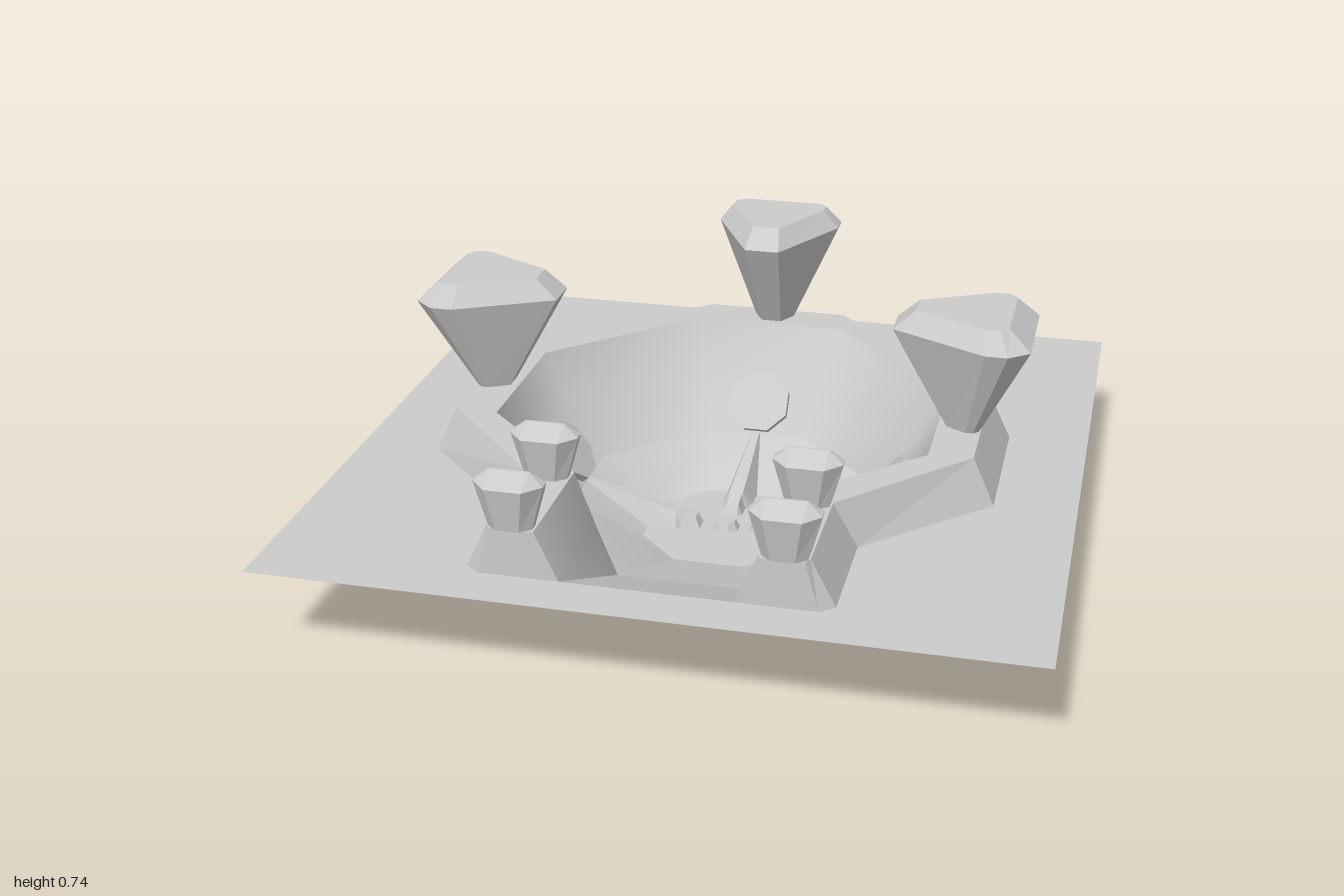
import * as THREE from 'three';
import { toCreasedNormals } from 'three/addons/utils/BufferGeometryUtils.js';

const flat = new THREE.MeshStandardMaterial({ color: 0xcccccc, flatShading: true, side: THREE.DoubleSide });
const smooth = new THREE.MeshStandardMaterial({ color: 0xcccccc, side: THREE.DoubleSide });

const GROUND = 0.27, RIM = 0.4, FRONT = 0.87;

function mesh(name, geometry, material = flat) {
  const m = new THREE.Mesh(geometry, material);
  m.name = name;
  return m;
}

// Skin over rows of [x, y, z] points; closed rows wrap round and get a cap on the last row.
function skin(rows, closed = false) {
  const pos = [];
  const n = rows[0].length;
  const tri = (...pts) => pts.forEach((p) => pos.push(...p));
  for (let i = 0; i < rows.length - 1; i++) {
    for (let j = 0; j < (closed ? n : n - 1); j++) {
      const k = (j + 1) % n;
      tri(rows[i][j], rows[i][k], rows[i + 1][k]);
      tri(rows[i][j], rows[i + 1][k], rows[i + 1][j]);
    }
  }
  if (closed) {
    const top = rows[rows.length - 1];
    for (let j = 1; j < n - 1; j++) tri(top[0], top[j], top[j + 1]);
  }
  const g = new THREE.BufferGeometry();
  g.setAttribute('position', new THREE.Float32BufferAttribute(pos, 3));
  g.computeVertexNormals();
  return g;
}

// Right half of a row (front to back) followed by its mirrored left half.
const mirrorRow = (pts) => [...pts, ...pts.map(([x, y, z]) => [-x, y, z]).reverse()];

// Row through the arm end, arm corner, and the chamfered octagon corners.
function bowlRow(y, r, c, arm) {
  return mirrorRow([...arm, [r, y, c], [r, y, -c], [c, y, -r]]);
}

// Closed ring symmetric about the x axis, from its upper half listed from +x to -x.
function ring(y, half) {
  return [...half.map(([x, w]) => [x, y, -w]), ...half.map(([x, w]) => [x, y, w]).reverse()];
}

function largePillar() {
  return mesh('largePillar', skin([
    ring(RIM, [[0.715, 0.045], [0.7, 0.06], [0.68, 0.06], [0.625, 0.03]]),
    ring(0.68, [[0.845, 0.14], [0.79, 0.185], [0.73, 0.185], [0.47, 0.05]]),
    ring(0.735, [[0.785, 0.115], [0.765, 0.14], [0.725, 0.14], [0.53, 0.04]]),
  ], true));
}

function smallPost(x, z) {
  const post = mesh('smallPost', skin([
    ring(RIM, [[0.057, 0.012], [0.03, 0.035], [-0.03, 0.035], [-0.057, 0.012]]),
    ring(0.52, [[0.09, 0.015], [0.048, 0.06], [-0.048, 0.06], [-0.09, 0.015]]),
    ring(0.55, [[0.052, 0.002], [0.045, 0.004], [-0.045, 0.004], [-0.052, 0.002]]),
  ], true));
  post.position.set(x, 0, z);
  return post;
}

// Tapered rib running down the bowl onto the floor
function floorRib() {
  const sections = [
    [0.41, 0.015, 0.105, 0.01, 0.115], [0.22, 0.045, 0, 0.018, 0.065], [0.14, 0.045, 0, 0.02, 0.045],
    [0.125, 0.03, 0, 0.018, 0.04], [0.085, 0.03, 0, 0.018, 0.03], [0.07, 0.03, 0, 0.018, 0.002],
  ];
  return mesh('floorRib', skin(sections.map(([d, bw, by, tw, ty]) =>
    [[d, by, bw], [d, ty, tw], [d, ty, -tw], [d, by, -bw]])));
}

function wallDisc() {
  const disc = mesh('wallDisc', new THREE.CylinderGeometry(0.095, 0.095, 0.04, 8, 1, false, Math.PI / 8));
  disc.rotation.z = 0.927;
  disc.position.set(0.466, 0.19, 0);
  return disc;
}

export function createModel() {
  const model = new THREE.Group();
  model.name = 'arena';

  // Rows of the raised rim
  const base = bowlRow(GROUND, 0.78, 0.22, [[0.43, GROUND, FRONT], [0.467, GROUND, 0.84], [0.467, GROUND, 0.53]]);
  const outer = bowlRow(RIM, 0.72, 0.21, [[0.395, RIM, FRONT], [0.405, RIM, 0.85], [0.405, RIM, 0.55]]);
  const inner = bowlRow(RIM, 0.6, 0.22, [[0.28, RIM, FRONT], [0.28, RIM, 0.85], [0.28, RIM, 0.53]]);
  model.add(mesh('rim', skin([base, outer, inner])));

  // Rows of the bowl wall, from the rim down
  const upper = bowlRow(GROUND, 0.53, 0.19, [[0.25, 0.335, FRONT], [0.246, 0.325, 0.85], [0.225, 0.25, 0.53]]);
  const middle = bowlRow(0.11, 0.41, 0.15, [[0.22, GROUND, FRONT], [0.217, 0.26, 0.85], [0.17, 0.11, 0.53]]);
  const foot = mirrorRow([[0.1, 0, 0.22], [0.22, 0, 0.1], [0.22, 0, -0.1], [0.1, 0, -0.22]]);
  model.add(mesh('bowlWall', toCreasedNormals(skin([inner, upper, middle]), 1.2), smooth));
  model.add(mesh('lowerBowlWall', toCreasedNormals(skin([middle.slice(2, -2), foot]), 1.2), smooth));

  // Floor and the ramp leading out of the front
  model.add(mesh('floor', skin([foot, foot.map(() => [0, 0, 0])])));
  model.add(mesh('floor', skin([[[-0.1, 0, 0.22], [0.1, 0, 0.22]], [[0, 0, 0], [0, 0, 0]]])));
  model.add(mesh('ramp', skin([[0.22, GROUND, FRONT], [0.17, 0.11, 0.53], [0.1, 0, 0.22]]
    .map(([x, y, z]) => [[-x, y, z], [x, y, z]]))));
  const knob = mesh('centreKnob', new THREE.CylinderGeometry(0.03, 0.042, 0.025, 8, 1, false, Math.PI / 8));
  knob.position.y = 0.0125;
  model.add(knob);

  // Front ends of the arms and their posts
  for (const s of [-1, 1]) {
    const end = [[0.22, GROUND], [0.43, GROUND], [0.395, RIM], [0.28, RIM]];
    const shape = new THREE.Shape(end.map(([x, y]) => new THREE.Vector2(s * x, y)));
    const cap = mesh('armEnd', new THREE.ShapeGeometry(shape));
    cap.position.z = FRONT;
    model.add(cap);
    for (const z of [0.56, 0.845]) model.add(smallPost(s * 0.343, z));
  }

  // Pillar, disc and rib on the left, back and right sides
  for (let i = 0; i < 3; i++) {
    const side = new THREE.Group();
    side.name = 'pillarSide';
    side.add(largePillar(), wallDisc(), floorRib());
    side.rotation.y = i * Math.PI / 2;
    model.add(side);
  }

  // Thin ground sheet with the rim's footprint cut out
  const sheet = new THREE.Shape([[-1, -1], [1, -1], [1, 1], [-1, 1]].map(([x, y]) => new THREE.Vector2(x, y)));
  sheet.holes.push(new THREE.Path(base.map(([x, , z]) => new THREE.Vector2(x, -z))));
  const ground = mesh('groundSheet', new THREE.ShapeGeometry(sheet).rotateX(-Math.PI / 2));
  ground.position.y = GROUND;
  model.add(ground);

  return model;
}
